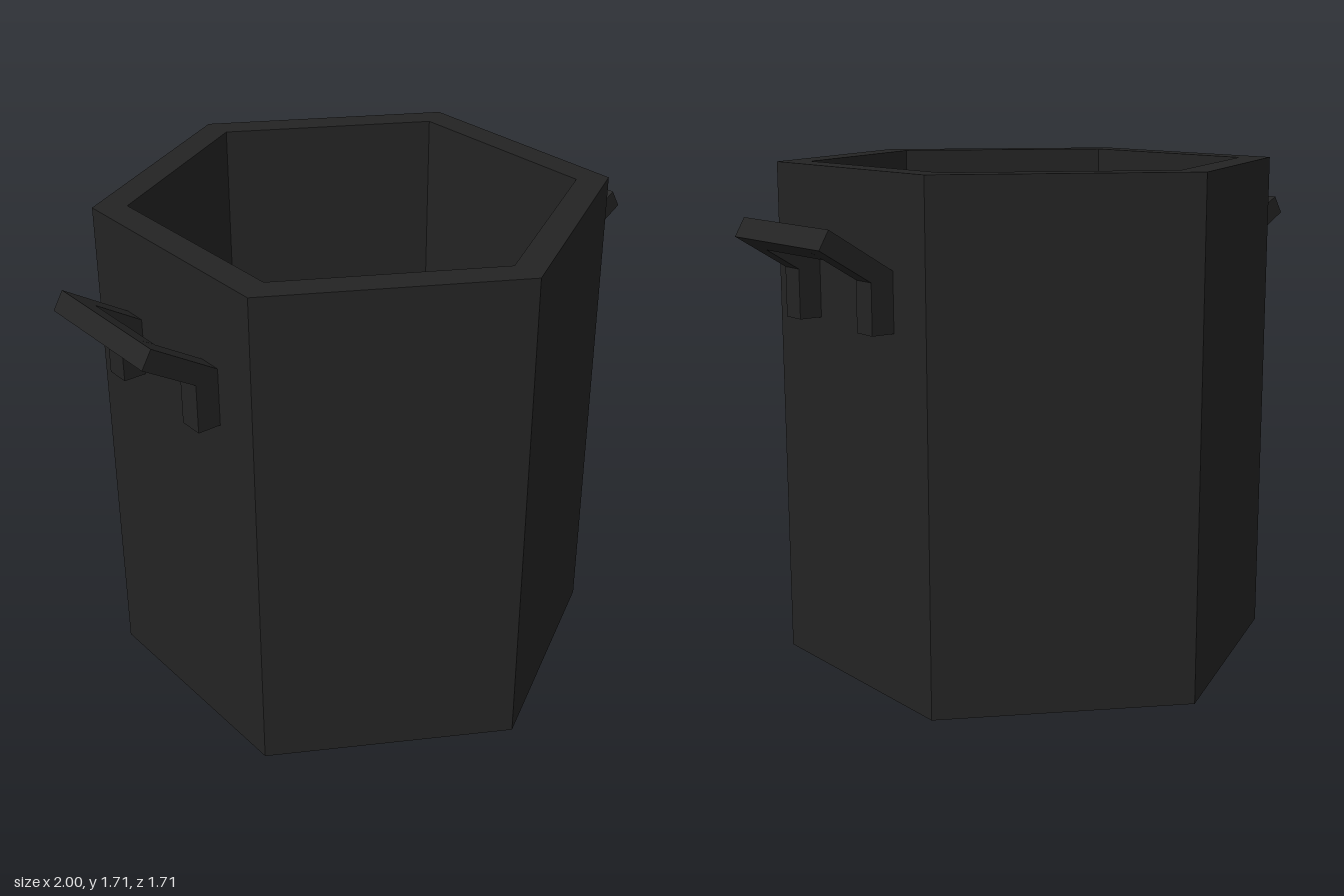
import * as THREE from 'three';

export function createModel() {
  const model = new THREE.Group();
  model.name = 'cookingPot';
  const iron = new THREE.MeshStandardMaterial({ color: 0x232323, flatShading: true });
  iron.name = 'blackIron';

  // Hexagonal pot with a thick wall and an open top
  const R = 0.855, r = 0.743, H = 1.71, floor = 0.11;
  const profile = [[0, 0], [R, 0], [R, H], [r, H], [r, floor], [0, floor]]
    .map(([x, y]) => new THREE.Vector2(x, y));
  const body = new THREE.Mesh(new THREE.LatheGeometry(profile, 6), iron);
  body.name = 'potBody';
  model.add(body);

  // Extrudes an outline in x and y between two z positions
  const slab = (name, points, z0, z1) => {
    const shape = new THREE.Shape(points.map(([x, y]) => new THREE.Vector2(x, y)));
    const geometry = new THREE.ExtrudeGeometry(shape, { depth: z1 - z0, bevelEnabled: false });
    geometry.translate(0, 0, z0);
    const mesh = new THREE.Mesh(geometry, iron);
    mesh.name = name;
    return mesh;
  };

  // Bent bracket arms joined by a sloping grip
  const arm = [[0.735, 1.215], [0.82, 1.215], [0.82, 1.38], [1, 1.49], [0.965, 1.55], [0.735, 1.407]];
  const grip = [[0.935, 1.45], [1, 1.49], [0.965, 1.55], [0.9, 1.51]];
  for (const [name, turn] of [['leftHandle', 0], ['rightHandle', Math.PI]]) {
    const handle = new THREE.Group();
    handle.name = name;
    handle.add(
      slab('frontArm', arm, 0.17, 0.255),
      slab('backArm', arm, -0.255, -0.17),
      slab('grip', grip, -0.17, 0.17)
    );
    handle.rotation.y = turn;
    model.add(handle);
  }
  return model;
}
